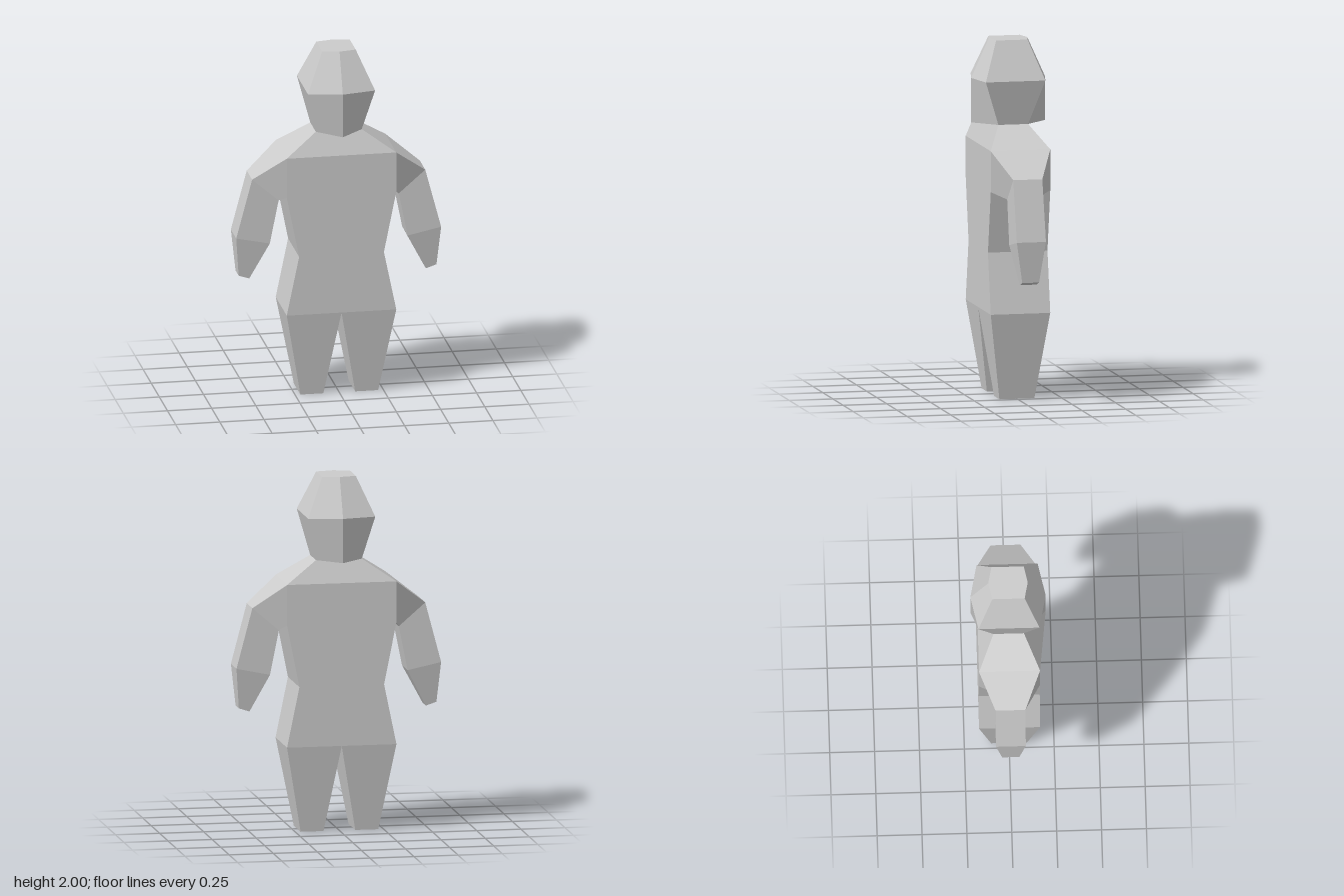
import * as THREE from 'three';

const material = new THREE.MeshStandardMaterial({ color: 0xcccccc });

// One flat normal per polygon, each polygon cut into a fan from its first corner
function polyMesh(name, faces) {
  const position = [], normal = [];
  for (const face of faces) {
    const n = new THREE.Vector3();
    const pts = face.map(p => new THREE.Vector3(...p));
    pts.forEach((p, i) => n.add(p.clone().cross(pts[(i + 1) % pts.length])));
    n.normalize();
    for (let i = 1; i < pts.length - 1; i++) {
      for (const p of [pts[0], pts[i], pts[i + 1]]) {
        position.push(p.x, p.y, p.z);
        normal.push(n.x, n.y, n.z);
      }
    }
  }
  const geometry = new THREE.BufferGeometry();
  geometry.setAttribute('position', new THREE.Float32BufferAttribute(position, 3));
  geometry.setAttribute('normal', new THREE.Float32BufferAttribute(normal, 3));
  const mesh = new THREE.Mesh(geometry, material);
  mesh.name = name;
  return mesh;
}

// Quads between successive rings, with optional end caps
function loft(rings, capStart, capEnd) {
  const faces = [];
  for (let r = 0; r < rings.length - 1; r++) {
    const a = rings[r], b = rings[r + 1];
    a.forEach((p, i) => {
      const j = (i + 1) % a.length;
      faces.push([p, a[j], b[j], b[i]]);
    });
  }
  if (capStart) faces.push([...rings[0]].reverse());
  if (capEnd) faces.push(rings[rings.length - 1]);
  return faces;
}

// Mirrored copy of faces across one axis (0 = x, 2 = z)
const mirror = (faces, axis) => faces.map(face =>
  face.map(p => p.map((v, k) => (k === axis ? -v : v))).reverse());

// Level rectangle from x0 to x1, depth -z to z
const rect = (x0, x1, y, z) => [[x1, y, z], [x1, y, -z], [x0, y, -z], [x0, y, z]];

// Level six-sided ring with a ridge at the centre of front and back
const hex = (x, y, z, ridge) => [
  [x, y, z], [x, y, -z], [0, y, -ridge], [-x, y, -z], [-x, y, z], [0, y, ridge]];

// Upright four-cornered arm section from its lower inner and upper outer points
const section = ([x0, y0], [x1, y1], z) => [
  [x0, y0, z], [x0, y0, -z], [x1, y1, -z], [x1, y1, z]];

export function createModel() {
  const group = new THREE.Group();
  group.name = 'figure';

  // Head
  group.add(polyMesh('head', loft([
    hex(0.13, 1.53, 0.085, 0.21),
    hex(0.19, 1.78, 0.17, 0.21),
    hex(0.095, 2.0, 0.09, 0.11),
  ], false, true)));

  // Sloping shoulders between neck and torso
  const neck = [0.13, 1.53, 0.085], neckR = [-0.13, 1.53, 0.085];
  const tip = [0.31, 1.41, 0.17], tipR = [-0.31, 1.41, 0.17];
  const front = [[[0, 1.53, 0.21], neckR, tipR, tip, neck]];
  const slope = [[neck, tip, [0.31, 1.41, -0.17], [0.13, 1.53, -0.085]]];
  group.add(polyMesh('shoulders',
    [...front, ...mirror(front, 2), ...slope, ...mirror(slope, 0)]));

  // Torso
  group.add(polyMesh('torso', loft(
    [[0.31, 0.49], [0.24, 0.83], [0.31, 1.18], [0.31, 1.41]]
      .map(([x, y]) => rect(-x, x, y, 0.17)), false, false)));

  // Arms: shoulder joint, upper arm, forearm
  const arm = loft([
    section([0.31, 1.18], [0.31, 1.41], 0.17),
    section([0.34, 1.14], [0.49, 1.27], 0.083),
    section([0.39, 0.89], [0.58, 0.93], 0.083),
    section([0.5, 0.68], [0.56, 0.7], 0.048),
  ], false, true);
  group.add(polyMesh('leftArm', arm), polyMesh('rightArm', mirror(arm, 0)));

  // Tapered legs
  const leg = loft([rect(0.09, 0.22, 0, 0.1), rect(0, 0.31, 0.49, 0.17)], true, false);
  group.add(polyMesh('leftLeg', leg), polyMesh('rightLeg', mirror(leg, 0)));

  return group;
}
